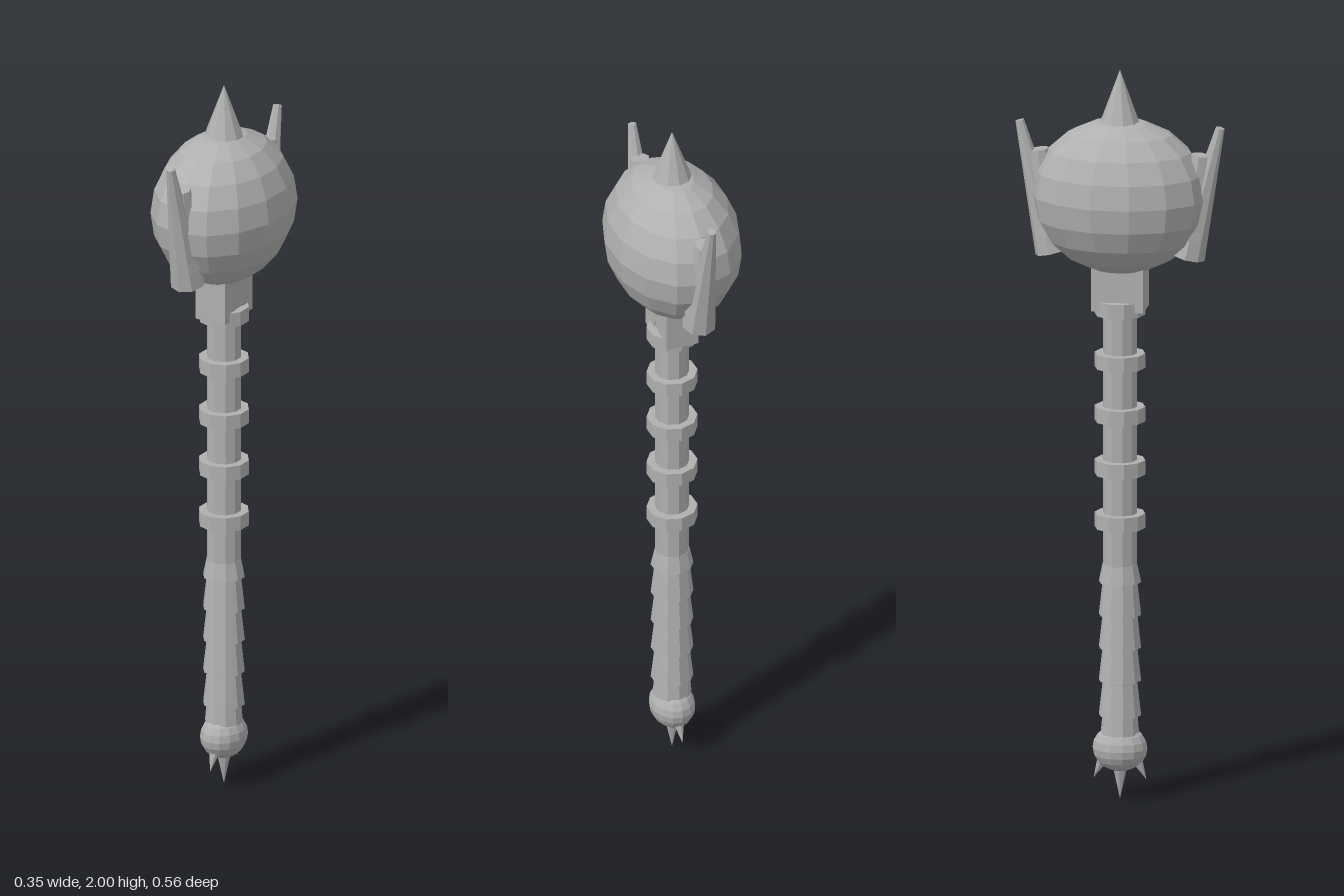
import * as THREE from 'three';

export function createModel() {
  const group = new THREE.Group();
  const steel = new THREE.MeshStandardMaterial({ color: 0xb0b0b0, flatShading: true });
  steel.name = 'grey steel';

  const add = (name, geometry, x = 0, y = 0, z = 0) => {
    const mesh = new THREE.Mesh(geometry, steel);
    mesh.name = name;
    mesh.position.set(x, y, z);
    group.add(mesh);
    return mesh;
  };
  // Tapered round part from y0 up to y1
  const column = (name, y0, y1, rBottom, rTop, sides = 10) =>
    add(name, new THREE.CylinderGeometry(rTop, rBottom, y1 - y0, sides), 0, (y0 + y1) / 2, 0);
  // Faceted ball with corners on the z axis
  const ball = (name, y, rx, ry, rz, sides, rings) =>
    add(name, new THREE.SphereGeometry(1, sides, rings).rotateY(Math.PI / 2).scale(rx, ry, rz), 0, y, 0);

  // Head and top point
  ball('head', 1.655, 0.177, 0.211, 0.237, 14, 10);
  add('topSpike', new THREE.ConeGeometry(0.055, 0.15, 10), 0, 1.925, 0);

  // Shaft with evenly spaced collars
  column('shaft', 0.18, 1.48, 0.046, 0.046);
  for (let i = 0; i < 5; i++) {
    const y = 0.765 + i * 0.1463;
    column('collar', y - 0.02, y + 0.02, 0.068, 0.068);
  }

  // Grip made of overlapping flared wraps
  [0.235, 0.33, 0.42, 0.51, 0.6].forEach((y, i) => {
    const height = i === 4 ? 0.045 : 0.085;
    column('gripWrap', y - 0.004, y + height, 0.057, 0.047);
  });
  column('gripBase', 0.18, 0.235, 0.052, 0.047);

  // Pommel and its lower point
  ball('pommel', 0.14, 0.06, 0.063, 0.074, 14, 10);
  add('pommelSpike', new THREE.ConeGeometry(0.021, 0.095, 8).rotateX(Math.PI), 0, 0.0475, 0);

  // Neck block profile, drawn in z and y
  const neck = new THREE.Shape([
    [0, 1.47], [0, 1.4], [0.03, 1.345], [0.07, 1.345], [0.07, 1.47],
  ].map(([z, y]) => new THREE.Vector2(z, y)));

  // Parts repeated on the front and the back
  for (const side of [1, -1]) {
    const block = new THREE.ExtrudeGeometry(neck, { depth: 0.092, bevelEnabled: false });
    block.translate(0, 0, -0.046).rotateY(-side * Math.PI / 2);
    add('neckBlock', block);

    const blade = add('headSpike', new THREE.CylinderGeometry(0.012, 0.047, 0.366, 8),
      0, 1.673, side * 0.226);
    blade.rotation.x = side * 0.243;

    const root = add('spikeRoot', new THREE.CylinderGeometry(0.026, 0.045, 0.23, 8),
      0, 1.66, side * 0.203);
    root.rotation.x = side * 0.12;

    const claw = add('pommelClaw', new THREE.ConeGeometry(0.016, 0.06, 8).rotateX(Math.PI),
      0, 0.083, side * 0.058);
    claw.rotation.x = -side * 0.45;
  }

  return group;
}
